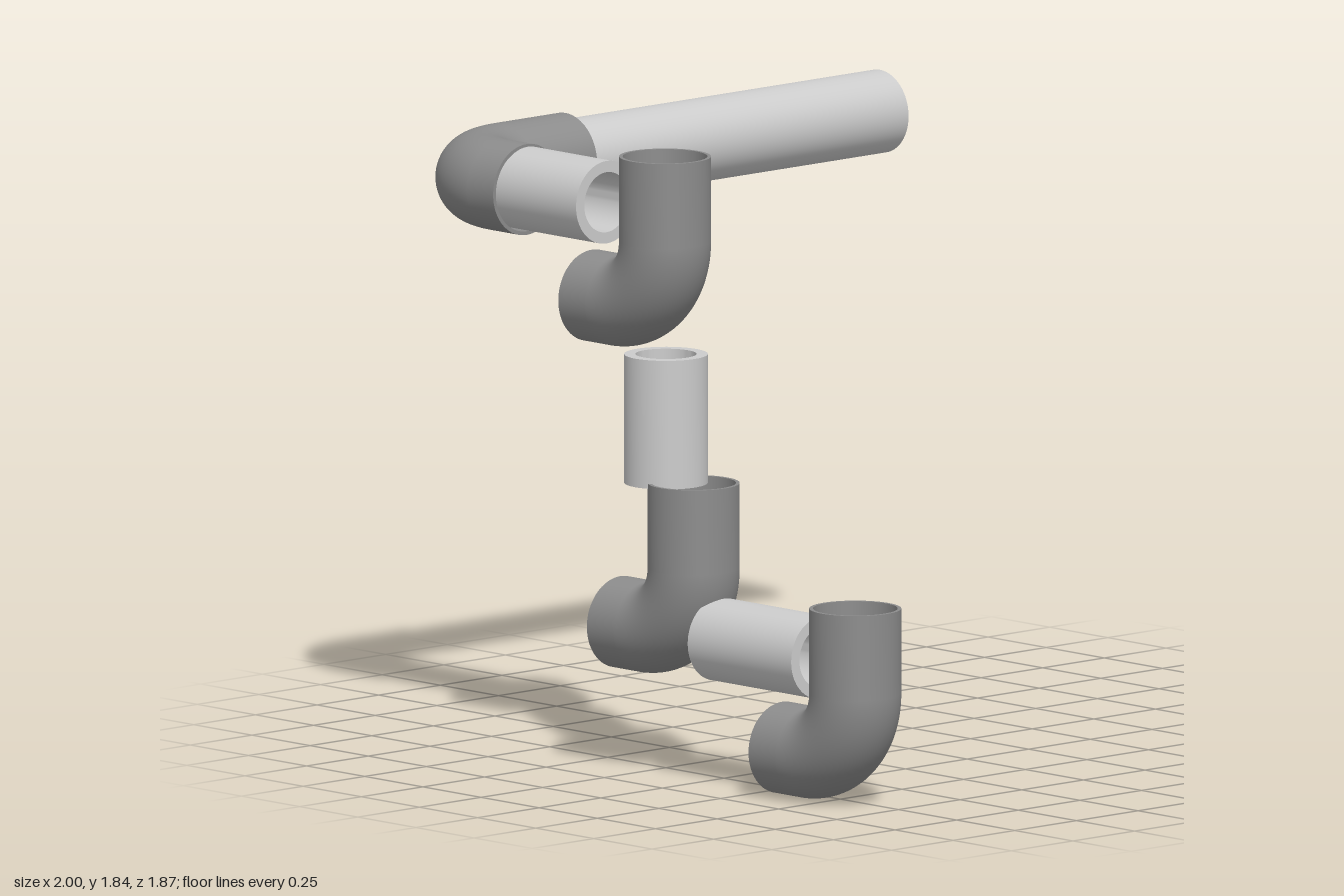
import * as THREE from 'three';
import { toCreasedNormals } from 'three/addons/utils/BufferGeometryUtils.js';

const SEG = 64;
const Z = 0.797; // common depth of the run of fittings
const PIPE_OUT = 0.1235, PIPE_IN = 0.09;
const ELBOW_OUT = 0.136, ELBOW_IN = 0.125;
const BEND = 0.2, SHORT_ARM = 0.315, LONG_ARM = 0.455;

const pipeMat = new THREE.MeshStandardMaterial({ color: 0xcccccc });
const elbowMat = new THREE.MeshStandardMaterial({ color: 0x8c8c8c });
const boreMat = new THREE.MeshStandardMaterial({ color: 0x8c8c8c, side: THREE.DoubleSide });

// Hollow tube along y; the lower rim is left open where it joins a bend
function tube(rOut, rIn, y0, y1, closed) {
  const pts = [[rOut, y0], [rOut, y1], [rIn, y1], [rIn, y0]];
  if (closed) pts.push([rOut, y0]);
  const profile = pts.map(([r, y]) => new THREE.Vector2(r, y));
  return toCreasedNormals(new THREE.LatheGeometry(profile, SEG), 0.6);
}

function add(parent, name, geometry, material) {
  const mesh = new THREE.Mesh(geometry, material);
  mesh.name = name;
  parent.add(mesh);
  return mesh;
}

// Elbow with its axes crossing at the origin: short arm to -x, long arm to +y
function elbow(name, x, y) {
  const g = new THREE.Group();
  g.name = name;
  add(g, 'longArm', tube(ELBOW_OUT, ELBOW_IN, BEND, LONG_ARM, false), elbowMat);
  add(g, 'shortArm', tube(ELBOW_OUT, ELBOW_IN, BEND, SHORT_ARM, false).rotateZ(Math.PI / 2), elbowMat);
  for (const [part, r, mat] of [['bend', ELBOW_OUT, elbowMat], ['bendBore', ELBOW_IN, boreMat]]) {
    const geo = new THREE.TorusGeometry(BEND, r, SEG, 24, Math.PI / 2);
    geo.rotateZ(-Math.PI / 2).translate(-BEND, BEND, 0);
    add(g, part, geo, mat);
  }
  g.position.set(x, y, Z);
  return g;
}

// Straight pipe centred at (x, y, z), running along the given axis
function pipe(parent, name, axis, length, x, y, z) {
  const geo = tube(PIPE_OUT, PIPE_IN, -length / 2, length / 2, true);
  if (axis === 'x') geo.rotateZ(Math.PI / 2);
  if (axis === 'z') geo.rotateX(Math.PI / 2);
  add(parent, name, geo, pipeMat).position.set(x, y, z);
}

export function createModel() {
  const model = new THREE.Group();
  model.name = 'pipeRun';

  // Upright elbows, stepping up from lower left to upper right
  model.add(elbow('lowerElbow', 0.864, 0.136));
  model.add(elbow('middleElbow', 0.169, 0.425));
  model.add(elbow('upperElbow', 0.046, 1.387));

  // Corner elbow lying flat, long arm to the back
  const corner = elbow('cornerElbow', -0.864, 1.668);
  corner.rotation.set(Math.PI / 2, 0, Math.PI);
  model.add(corner);

  // Straight pipes
  pipe(model, 'lowerPipe', 'x', 0.445, 0.4925, 0.425, 0.793);
  pipe(model, 'uprightPipe', 'y', 0.385, 0.046, 1.0575, 0.793);
  pipe(model, 'upperPipe', 'x', 0.445, -0.4325, 1.672, 0.793);
  pipe(model, 'longPipe', 'z', 1.523, -0.864, 1.659, -0.1715);

  return model;
}
